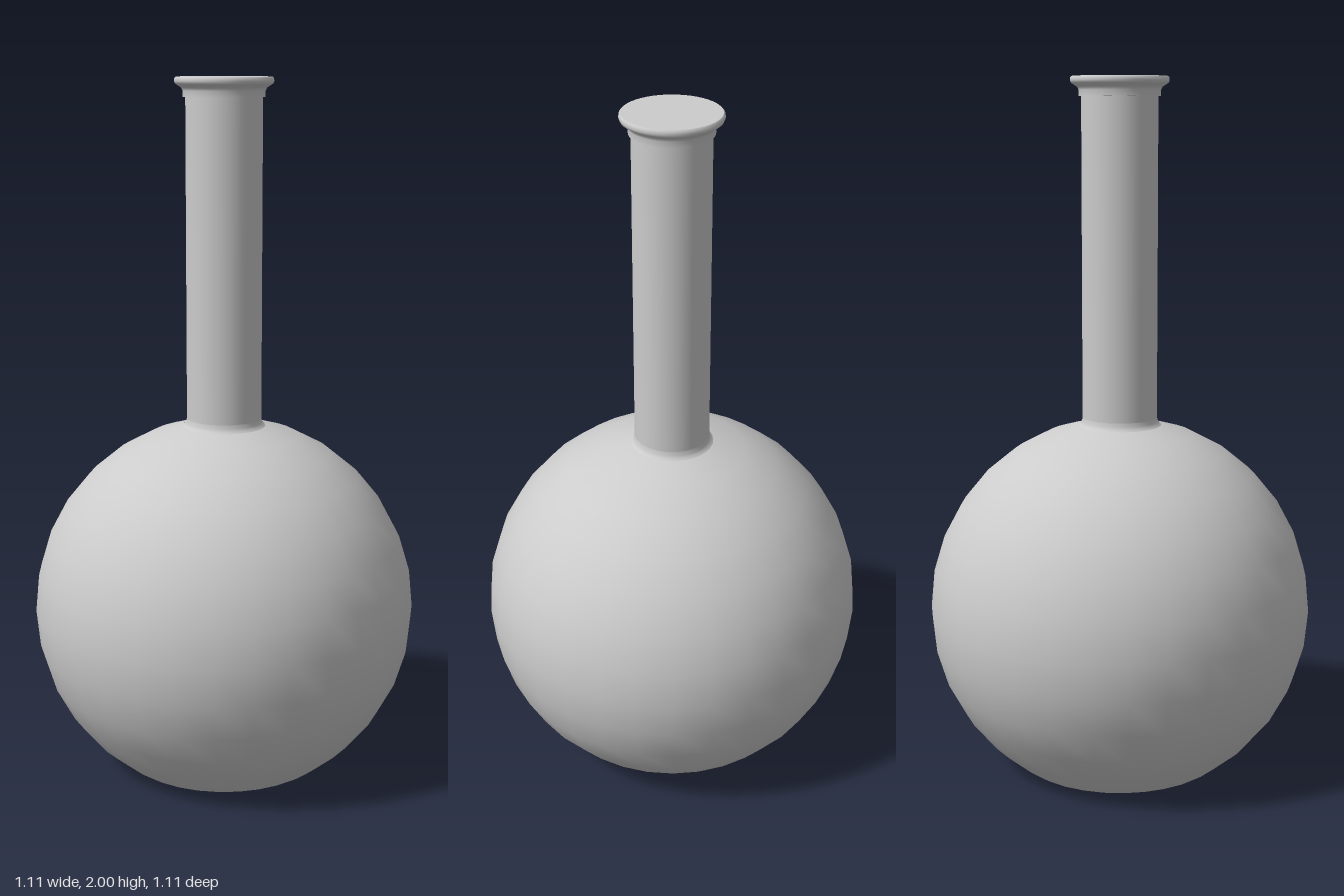
import * as THREE from 'three';

const material = new THREE.MeshStandardMaterial({ color: 0xcccccc });

// Revolve a profile of [radius, y] pairs, listed from bottom to top
function turned(name, profile, segments) {
  const points = profile.map(([r, y]) => new THREE.Vector2(r, y));
  const mesh = new THREE.Mesh(new THREE.LatheGeometry(points, segments), material);
  mesh.name = name;
  return mesh;
}

// Flat horizontal disc facing up (1) or down (-1)
function disc(name, radius, y, facing, segments) {
  const geometry = new THREE.CircleGeometry(radius, segments);
  geometry.rotateZ(Math.PI / 2).rotateX(-facing * Math.PI / 2);
  const mesh = new THREE.Mesh(geometry, material);
  mesh.position.y = y;
  mesh.name = name;
  return mesh;
}

export function createModel() {
  const model = new THREE.Group();
  model.name = 'roundFlask';

  // Round bulb, cut off flat below and opening into the neck above
  const radius = 0.557, centreY = 0.47, step = Math.PI / 16;
  const bulb = [[0.3, 0], [0.318, 0.012]];
  for (let i = -4; i <= 6; i++) {
    bulb.push([radius * Math.cos(i * step), centreY + radius * Math.sin(i * step)]);
  }
  bulb.push([0.12, 1.012]);
  model.add(turned('bulb', bulb, 32));
  model.add(disc('base', 0.3, 0, -1, 32));

  // Small fillet where the neck meets the bulb
  model.add(turned('neckFillet', [[0.122, 1.01], [0.114, 1.016], [0.11, 1.024], [0.108, 1.035]], 48));

  // Straight neck
  model.add(turned('neck', [[0.108, 1.03], [0.108, 1.95]], 48));

  // Flared lip with a narrow collar below it
  model.add(turned('collar', [[0.108, 1.945], [0.115, 1.945]], 48));
  model.add(turned('lip', [
    [0.115, 1.945], [0.115, 1.962], [0.119, 1.97], [0.128, 1.976],
    [0.136, 1.981], [0.139, 1.988], [0.138, 1.996], [0.134, 2],
  ], 48));
  model.add(disc('top', 0.134, 2, 1, 48));

  return model;
}
